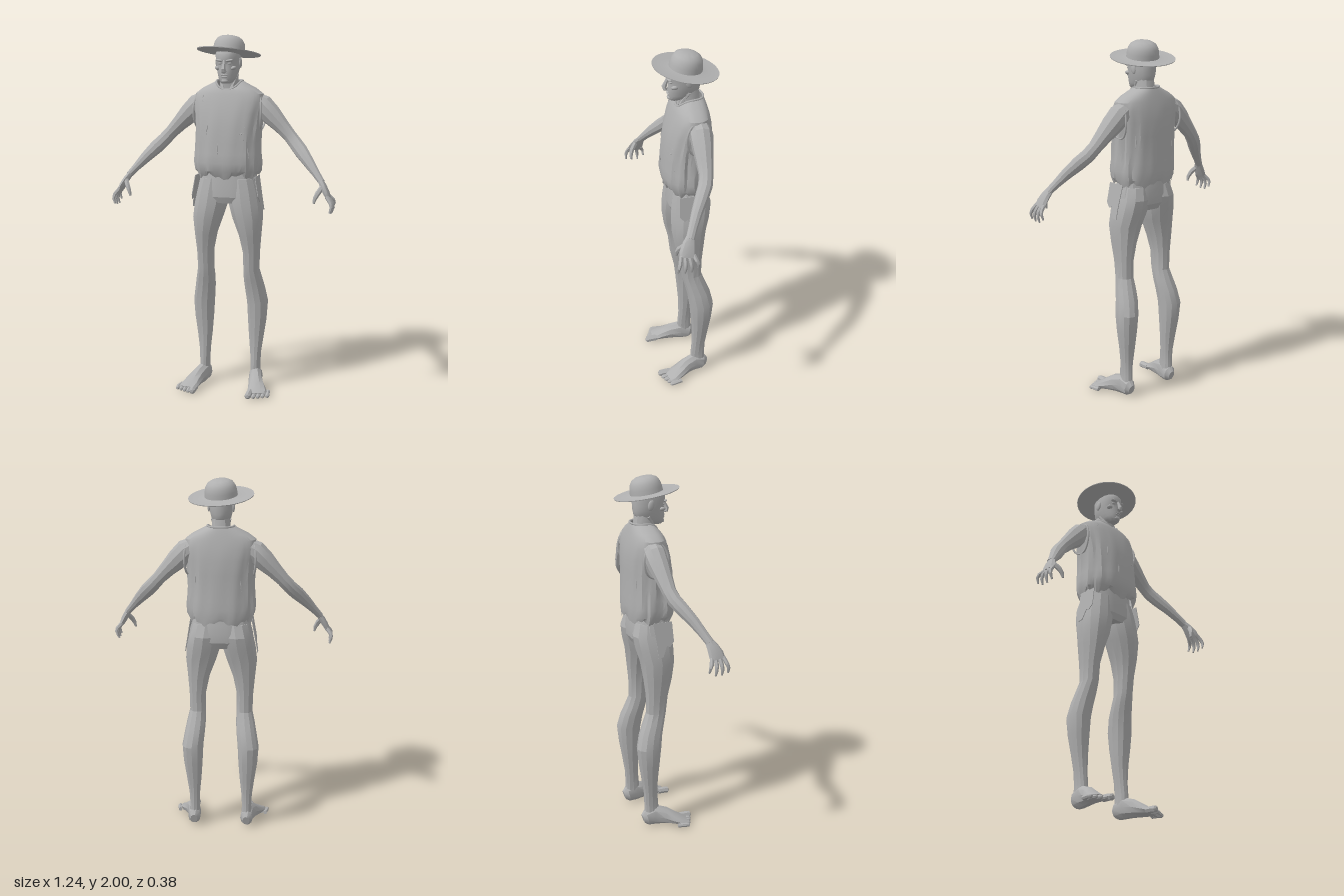
import * as THREE from 'three';
import { toCreasedNormals } from 'three/addons/utils/BufferGeometryUtils.js';

const V = (x, y, z) => new THREE.Vector3(x, y, z);
const spow = (v, e) => Math.sign(v) * Math.abs(v) ** e;

// Skin a list of rings (arrays of points), optionally closing both ends
function skin(rings, crease = 0.5, capped = true) {
  const n = rings[0].length, pos = [], idx = [];
  rings.forEach(r => r.forEach(p => pos.push(p.x, p.y, p.z)));
  for (let i = 0; i < rings.length - 1; i++) for (let j = 0; j < n; j++) {
    const a = i * n + j, b = i * n + (j + 1) % n;
    idx.push(a, a + n, b, b, a + n, b + n);
  }
  if (capped) [0, rings.length - 1].forEach((i, end) => {
    const c = V(0, 0, 0), k = pos.length / 3;
    rings[i].forEach(p => c.addScaledVector(p, 1 / n));
    pos.push(c.x, c.y, c.z);
    for (let j = 0; j < n; j++) {
      const a = i * n + j, b = i * n + (j + 1) % n;
      idx.push(k, end ? b : a, end ? a : b);
    }
  });
  const g = new THREE.BufferGeometry();
  g.setAttribute('position', new THREE.Float32BufferAttribute(pos, 3));
  g.setIndex(idx);
  return toCreasedNormals(g, crease);
}

// Level ring: height, centre x, half width, front z, back z
function level([y, cx, hw, zf, zb], n, e = 0.85, warp) {
  return Array.from({ length: n }, (_, j) => {
    const a = (j / n) * Math.PI * 2;
    const p = V(cx + hw * spow(Math.cos(a), e), y, (zf + zb) / 2 + (zf - zb) / 2 * spow(Math.sin(a), e));
    if (warp) warp(p, a);
    return p;
  });
}

// Limb along points [x, y, z, radiusU, radiusV]; V runs roughly along ref
function limb(pts, n = 8, ref = V(0, 0, 1), crease = 0.5) {
  const c = pts.map(p => V(p[0], p[1], p[2]));
  return skin(pts.map((p, i) => {
    const t = c[Math.min(i + 1, c.length - 1)].clone().sub(c[Math.max(i - 1, 0)]).normalize();
    const u = t.clone().cross(ref).normalize(), v = u.clone().cross(t);
    return Array.from({ length: n }, (_, j) => {
      const a = (j / n) * Math.PI * 2;
      return c[i].clone().addScaledVector(u, p[3] * Math.cos(a)).addScaledVector(v, (p[4] ?? p[3]) * Math.sin(a));
    });
  }), crease);
}

const VEST = [ // height, half width, front, back
  [1.235, 0.168, 0.09, -0.147], [1.265, 0.182, 0.108, -0.152], [1.31, 0.187, 0.116, -0.153],
  [1.36, 0.183, 0.112, -0.152], [1.42, 0.181, 0.108, -0.15], [1.5, 0.182, 0.1, -0.15],
  [1.58, 0.19, 0.085, -0.15], [1.64, 0.198, 0.066, -0.142], [1.685, 0.19, 0.05, -0.133],
  [1.715, 0.15, 0.043, -0.125], [1.74, 0.1, 0.038, -0.118], [1.755, 0.072, 0.03, -0.112]];

export function createModel() {
  const root = new THREE.Group();
  const grey = new THREE.MeshStandardMaterial({ color: 0xb0b0b0, side: THREE.DoubleSide });
  grey.name = 'plain grey';
  const add = (name, geo, parent = root) => {
    const m = new THREE.Mesh(geo, grey);
    m.name = name;
    parent.add(m);
    return m;
  };
  const group = name => {
    const g = new THREE.Group();
    g.name = name;
    root.add(g);
    return g;
  };
  const ball = (name, parent, x, y, z, sx, sy, sz) => {
    const m = add(name, new THREE.SphereGeometry(1, 10, 8), parent);
    m.position.set(x, y, z);
    m.scale.set(sx, sy, sz);
    return m;
  };

  // Wide-brimmed hat, tipped back and to one side
  const profile = [[0.06, -0.008], [0.12, -0.006], [0.176, 0.001], [0.177, 0.005], [0.12, 0.002], [0.089, 0.006],
    [0.087, 0.03], [0.082, 0.055], [0.069, 0.077], [0.048, 0.089], [0.024, 0.094], [0, 0.095]];
  const hat = add('hat', toCreasedNormals(new THREE.LatheGeometry(profile.map(p => new THREE.Vector2(...p)), 36), 0.6));
  hat.position.set(0, 1.906, -0.021);
  hat.rotation.set(-0.167, 0, -0.07);

  // Gaunt head and neck
  const head = group('head');
  add('skull', skin([
    [1.742, 0, 0.024, 0.062, 0.01], [1.752, 0, 0.036, 0.072, -0.03], [1.772, 0, 0.047, 0.075, -0.075],
    [1.795, 0, 0.053, 0.077, -0.094], [1.82, 0, 0.06, 0.074, -0.099], [1.848, 0, 0.063, 0.072, -0.101],
    [1.868, 0, 0.064, 0.081, -0.102], [1.9, 0, 0.066, 0.078, -0.1], [1.93, 0, 0.06, 0.06, -0.09]
  ].map(r => level(r, 16, 0.9)), 0.6), head);
  add('neck', skin([
    [1.64, 0, 0.07, 0.02, -0.11], [1.7, 0, 0.056, 0.014, -0.102], [1.75, 0, 0.05, 0.02, -0.096], [1.8, 0, 0.048, 0.03, -0.09]
  ].map(r => level(r, 12)), 0.6), head);
  add('nose', limb([[0, 1.87, 0.072, 0.008], [0, 1.845, 0.083, 0.009], [0, 1.82, 0.093, 0.013, 0.014],
    [0, 1.808, 0.09, 0.017, 0.012], [0, 1.802, 0.08, 0.01, 0.006]], 6), head);
  ball('upperLip', head, 0, 1.789, 0.074, 0.02, 0.004, 0.008);
  ball('lowerLip', head, 0, 1.779, 0.072, 0.018, 0.005, 0.008);
  ball('chin', head, 0, 1.756, 0.065, 0.02, 0.012, 0.014);
  for (const s of [1, -1]) {
    ball('brow', head, s * 0.027, 1.866, 0.07, 0.023, 0.007, 0.014).rotation.z = s * 0.12;
    ball('eye', head, s * 0.026, 1.85, 0.062, 0.012, 0.007, 0.012);
    ball('cheekbone', head, s * 0.044, 1.825, 0.048, 0.016, 0.011, 0.02).rotation.z = s * 0.4;
    ball('ear', head, s * 0.066, 1.853, -0.022, 0.008, 0.029, 0.018).rotation.x = 0.2;
    add('neckTendon', limb([[s * 0.046, 1.79, -0.03, 0.01], [s * 0.032, 1.74, 0.002, 0.011], [s * 0.014, 1.68, 0.022, 0.01]], 6), head);
  }

  // Sleeveless ragged vest with folds, scooped neck and torn hem
  const vest = group('vest');
  const rings = VEST.map(([y, hw, zf, zb], i) => level([y, 0, hw, zf, zb], 56, 0.84, (p, a) => {
    const loose = Math.max(0, Math.min(1, (1.68 - y) / 0.15));
    const side = 0.35 + 0.65 * Math.cos(a) ** 2;
    const f = 1 + loose * side * (0.025 * Math.sin(13 * a + 6 * y) + 0.018 * Math.sin(22 * a - 9 * y));
    p.x *= f;
    p.z = (p.z + 0.02) * f - 0.02;
    if (i === 0) p.y += 0.012 * Math.sin(7 * a) + 0.008 * Math.sin(19 * a + 1);
    if (i > 8) p.y -= 0.016 * (i - 8) * Math.max(0, Math.sin(a)) ** 2;
  }));
  add('vestBody', skin(rings, 0.55, false), vest);
  const rim = (name, pts, r) => add(name, new THREE.TubeGeometry(
    new THREE.CatmullRomCurve3(pts, true), 40, r, 6, true), vest);
  rim('neckline', rings[rings.length - 1].filter((_, j) => j % 4 === 0), 0.006);
  for (const s of [1, -1]) {
    rim('armhole', Array.from({ length: 12 }, (_, j) => {
      const a = (j / 12) * Math.PI * 2;
      return V(s * (0.192 - 0.012 * Math.sin(a) ** 2), 1.585 + 0.095 * Math.sin(a), -0.045 + 0.068 * Math.cos(a));
    }), 0.006);
  }
  // Rips standing slightly proud of the cloth: x, y, slant, length, face (1 front, -1 back)
  [[0.1, 1.5, 0.03, 0.02, 1], [0.09, 1.47, 0.03, 0.012, 1], [0.1, 1.45, 0.02, -0.02, 1], [-0.14, 1.65, 0.02, 0.04, 1],
    [-0.12, 1.63, -0.02, 0.03, 1], [-0.13, 1.44, 0.01, 0.09, 1], [-0.1, 1.46, 0.008, 0.07, 1], [-0.14, 1.31, 0.02, 0.06, 1],
    [-0.03, 1.36, 0, 0.06, 1], [0.14, 1.33, -0.01, 0.08, 1], [0.13, 1.42, 0, 0.1, -1], [0.1, 1.4, 0.01, 0.08, -1],
    [-0.12, 1.4, 0.01, 0.09, -1], [-0.14, 1.5, -0.01, 0.08, -1]].forEach(([x, y, dx, dy, f]) => {
    const surface = (px, py) => {
      const k = Math.max(1, VEST.findIndex(r => r[0] > py)), A = VEST[k - 1], B = VEST[k];
      const m = A.map((v, q) => THREE.MathUtils.lerp(v, B[q], (py - A[0]) / (B[0] - A[0])));
      const w = Math.sqrt(1 - Math.min(1, Math.abs(px / m[1])) ** 2.4);
      return (m[2] + m[3]) / 2 + f * w * (m[2] - m[3]) / 2;
    };
    const at = (t, r) => [x + dx * t, y + dy * t, surface(x + dx * t, y + dy * t), r];
    add('tear', limb([at(0, 0.001), at(0.5, 0.005), at(1, 0.001)], 5), vest);
  });

  // Hips of the close-fitting trousers
  add('hips', skin([
    [1.085, 0, 0.15, 0.07, -0.11], [1.12, 0, 0.18, 0.083, -0.128], [1.17, 0, 0.175, 0.081, -0.132],
    [1.22, 0, 0.162, 0.076, -0.125], [1.28, 0, 0.15, 0.07, -0.12]
  ].map(r => level(r, 18)), 0.35));

  // Limbs, one pass for each side
  for (const s of [1, -1]) {
    const side = s > 0 ? 'left' : 'right';
    const S = pts => pts.map(([x, ...r]) => [s * x, ...r]);

    const leg = group(side + 'Leg');
    add('leg', skin([
      [0.05, 0.152, 0.032, -0.015, -0.1], [0.12, 0.151, 0.027, -0.012, -0.098], [0.2, 0.151, 0.031, -0.02, -0.1],
      [0.3, 0.153, 0.043, -0.02, -0.115], [0.4, 0.157, 0.054, -0.012, -0.132], [0.5, 0.158, 0.06, -0.003, -0.143],
      [0.58, 0.147, 0.057, 0.008, -0.125], [0.64, 0.139, 0.053, 0.022, -0.1], [0.7, 0.133, 0.045, 0.036, -0.078],
      [0.8, 0.134, 0.047, 0.047, -0.08], [0.9, 0.128, 0.062, 0.072, -0.092], [1.0, 0.114, 0.086, 0.088, -0.105],
      [1.08, 0.098, 0.094, 0.088, -0.128], [1.15, 0.089, 0.089, 0.081, -0.139], [1.22, 0.078, 0.08, 0.07, -0.12]
    ].map(r => level([r[0], s * r[1], ...r.slice(2)], 12, 0.9)), 0.3), leg);

    // Torn cloth flap at the outer hip
    const cloth = new THREE.Shape([[-0.06, 0], [0.05, 0], [0.055, -0.11], [0.03, -0.14], [0.012, -0.13],
      [-0.012, -0.19], [-0.04, -0.195], [-0.045, -0.12]].map(p => new THREE.Vector2(...p)));
    const flap = add('hipFlap', new THREE.ExtrudeGeometry(cloth, { depth: 0.004, bevelEnabled: false })
      .rotateY(-Math.PI / 2).rotateZ(s * 0.17), leg);
    flap.position.set(s * 0.17, 1.235, 0.005);

    // Bare foot and toes
    add('foot', limb(S([[0.152, 0.045, -0.106, 0.02, 0.03], [0.152, 0.052, -0.085, 0.036, 0.05],
      [0.156, 0.062, -0.035, 0.038, 0.06], [0.17, 0.052, 0.02, 0.04, 0.05], [0.188, 0.036, 0.07, 0.049, 0.034],
      [0.2, 0.024, 0.11, 0.056, 0.022], [0.206, 0.018, 0.14, 0.05, 0.012]]), 10, V(0, 1, 0)), leg);
    for (let k = 0; k < 5; k++) {
      const r = k ? 0.012 : 0.019, x = 0.162 + 0.024 * k + (k ? 0.004 : 0), z = 0.188 - 0.012 * k;
      add('toe', limb(S([[x - 0.002 * k, r + 0.004, z - 0.07, r], [x, r + 0.003, z - 0.025, r],
        [x, r, z - 0.008, r], [x, r, z, r * 0.5]]), 7, V(0, 1, 0)), leg);
    }

    // Bare arm
    const arm = group(side + 'Arm');
    add('arm', limb(S([[0.13, 1.655, -0.052, 0.045, 0.05], [0.185, 1.62, -0.052, 0.062, 0.06], [0.235, 1.57, -0.048, 0.058, 0.056],
      [0.29, 1.515, -0.042, 0.045, 0.046], [0.34, 1.462, -0.036, 0.037, 0.038], [0.375, 1.422, -0.022, 0.038, 0.038],
      [0.415, 1.38, 0.008, 0.039, 0.036], [0.465, 1.325, 0.048, 0.031, 0.03], [0.51, 1.272, 0.08, 0.022, 0.025],
      [0.545, 1.23, 0.104, 0.018, 0.024]]), 10, V(0, 0, 1), 0.4), arm);

    // Hand with spread fingers
    add('palm', limb(S([[0.535, 1.242, 0.098, 0.016, 0.022], [0.556, 1.21, 0.113, 0.018, 0.034],
      [0.575, 1.175, 0.125, 0.017, 0.043], [0.588, 1.15, 0.13, 0.013, 0.042]]), 8), arm);
    for (let k = 0; k < 4; k++) {
      const z = 0.098 + 0.021 * k, out = (k - 1.5) * 0.008, d = k === 0 ? 0.02 : k === 3 ? 0.008 : 0;
      add('finger', limb(S([[0.582, 1.16, z, 0.011], [0.607, 1.123 + d / 2, z + out, 0.011],
        [0.611, 1.098 + d, z + out * 1.6, 0.009], [0.602, 1.068 + d, z + out * 1.8, 0.005]]), 6), arm);
    }
    add('thumb', limb(S([[0.556, 1.212, 0.128, 0.014], [0.534, 1.175, 0.158, 0.014],
      [0.521, 1.148, 0.168, 0.011], [0.515, 1.122, 0.17, 0.006]]), 6), arm);
  }
  return root;
}
